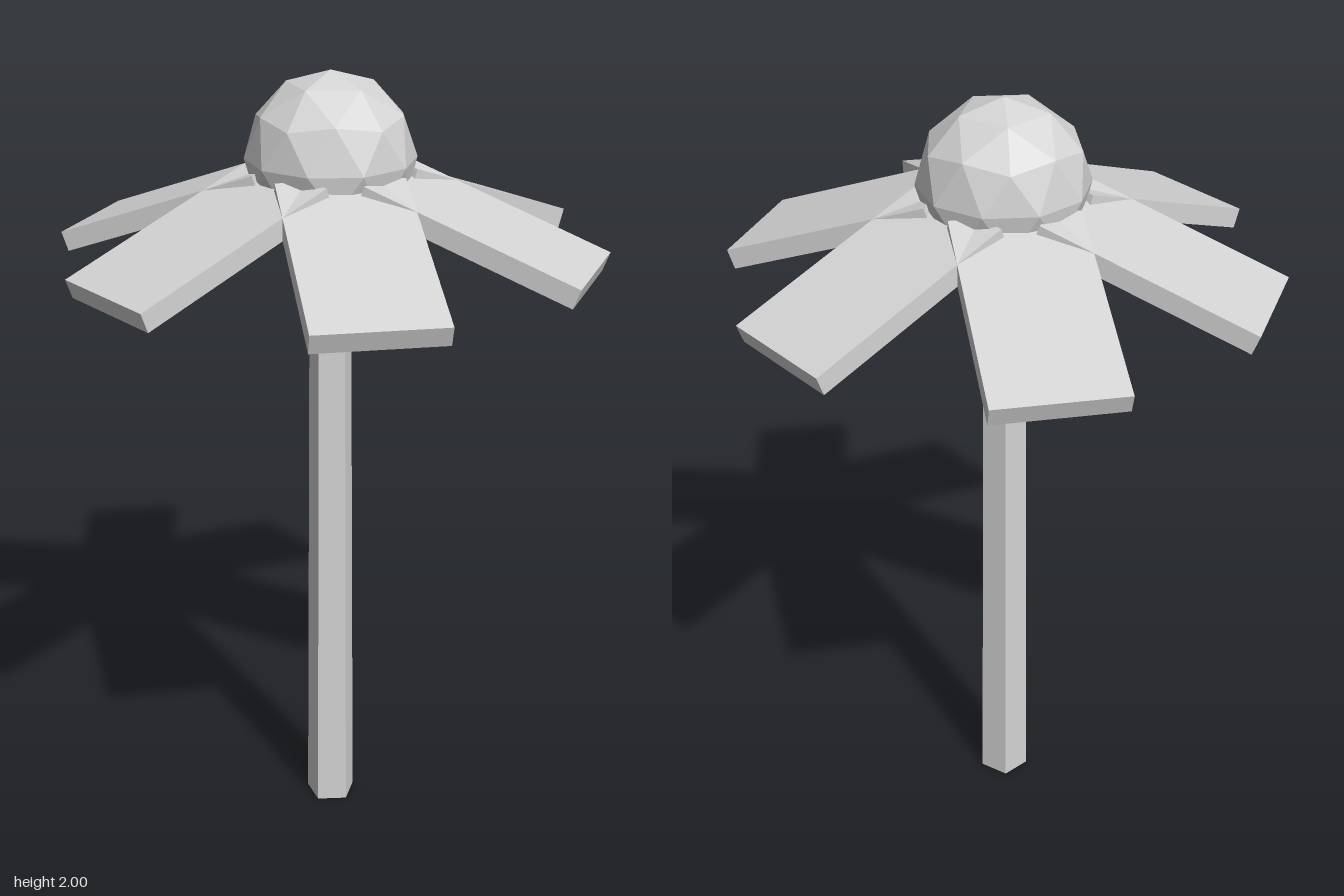
import * as THREE from 'three';

export function createModel() {
  const model = new THREE.Group();
  model.name = 'flower';
  const grey = new THREE.MeshStandardMaterial({ color: 0xd4d4d4, flatShading: true });
  grey.name = 'pale grey';

  const add = (name, geometry, parent = model) => {
    const mesh = new THREE.Mesh(geometry, grey);
    mesh.name = name;
    parent.add(mesh);
    return mesh;
  };

  // Tapered five-sided stem with one corner towards +x
  const stemHeight = 1.75;
  add('stem', new THREE.CylinderGeometry(0.052, 0.066, stemHeight, 5, 1, false, Math.PI / 2)
    .translate(0, stemHeight / 2, 0));

  // Faceted ball, turned so that one corner points straight up
  const radius = 0.207;
  add('flowerCentre', new THREE.IcosahedronGeometry(radius, 1)
    .rotateZ(Math.atan(2 / (1 + Math.sqrt(5))))
    .rotateY(Math.PI)
    .translate(0, 2 - radius, 0));

  // Six drooping slab petals; the top inner edge is the hinge
  const length = 0.548, width = 0.308, thickness = 0.05;
  const droop = THREE.MathUtils.degToRad(20);
  const petalGeometry = new THREE.BoxGeometry(width, thickness, length)
    .translate(0, -thickness / 2, length / 2)
    .rotateX(droop)
    .translate(0, 1.772, 0.139);
  const petals = new THREE.Group();
  petals.name = 'petals';
  model.add(petals);
  for (let i = 0; i < 6; i++) {
    add('petal' + (i + 1), petalGeometry, petals).rotation.y = i * Math.PI / 3;
  }

  return model;
}
